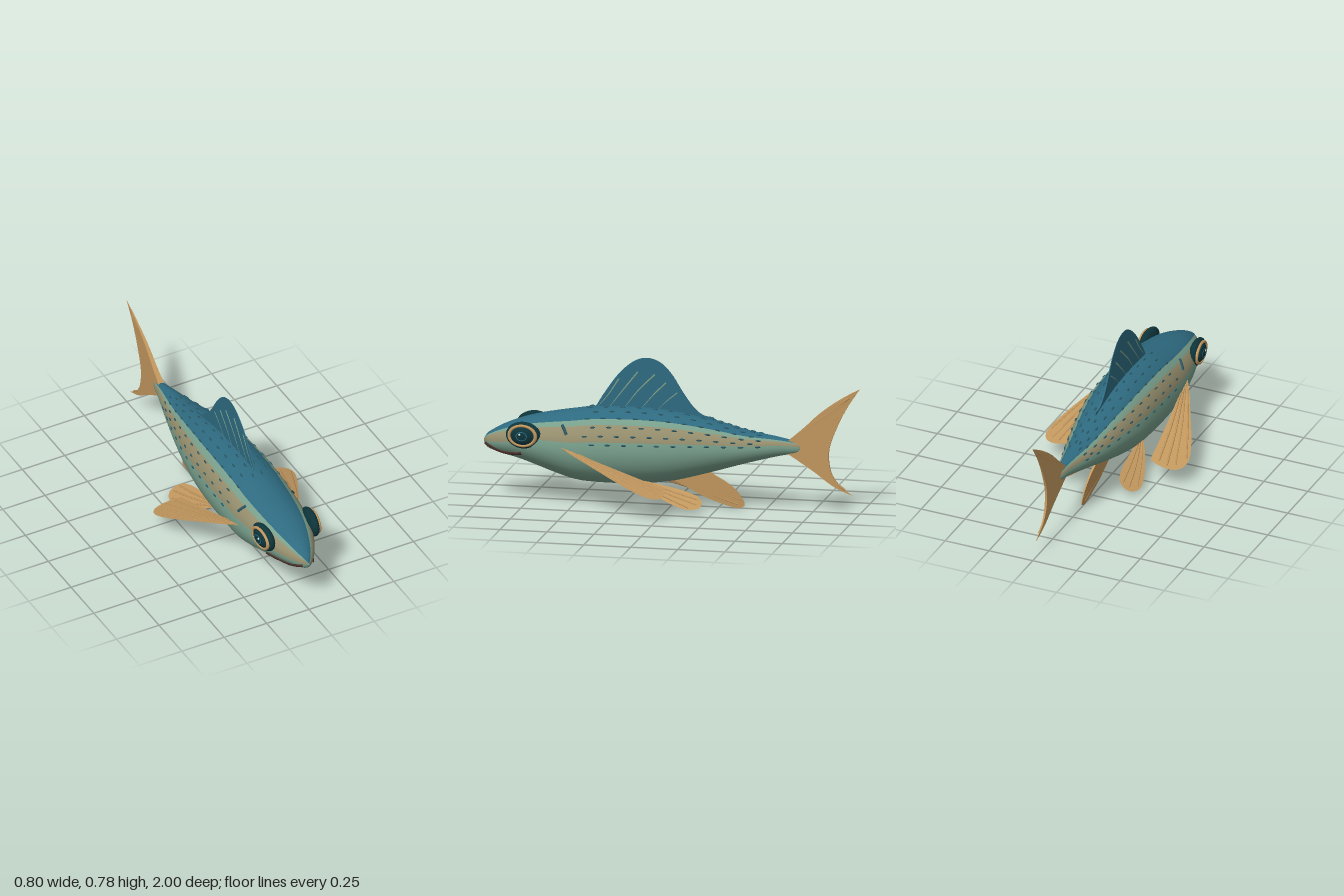
import * as THREE from 'three';
import { mergeGeometries } from 'three/addons/utils/BufferGeometryUtils.js';

const mat = (name, color, side = THREE.FrontSide) => {
  const m = new THREE.MeshStandardMaterial({ color, side });
  m.name = name;
  return m;
};

// Body profile by z: half width, top y, bottom y
const PROFILE = [
  [-0.70, 0.003, 0.352, 0.322], [-0.68, 0.015, 0.364, 0.312], [-0.6, 0.036, 0.385, 0.297],
  [-0.4, 0.09, 0.418, 0.245], [-0.2, 0.137, 0.468, 0.185], [0, 0.17, 0.505, 0.132],
  [0.2, 0.183, 0.516, 0.11], [0.4, 0.184, 0.508, 0.108], [0.5, 0.181, 0.492, 0.116],
  [0.6, 0.172, 0.475, 0.145], [0.7, 0.157, 0.455, 0.18], [0.8, 0.131, 0.427, 0.213],
  [0.9, 0.087, 0.386, 0.236], [0.95, 0.056, 0.358, 0.25], [0.985, 0.026, 0.331, 0.267],
  [1, 0.003, 0.303, 0.29],
];
const profile = new THREE.CubicInterpolant(
  PROFILE.map((p) => p[0]), PROFILE.flatMap((p) => p.slice(1)), 3, new Float32Array(3));

// Point on the skin at z and angle (degrees above the horizontal)
function skin(z, deg, side = 1) {
  const [w, top, bottom] = profile.evaluate(z);
  const a = THREE.MathUtils.degToRad(deg);
  return new THREE.Vector3(side * w * Math.cos(a), (top + bottom) / 2 + (top - bottom) / 2 * Math.sin(a), z);
}

// Lofted body, one geometry group per colour band
function bodyGeometry() {
  const half = [-90, -80, -70, -60, -50, -40, -30, -20, -10, 0, 13, 22, 31, 40, 51, 60, 70, 80];
  const ring = [...half, 90, ...half.slice(1).reverse().map((a) => 180 - a)];
  const n = ring.length, steps = 64, pos = [], bands = [[], [], []];
  for (let i = 0; i <= steps; i++) {
    const z = 0.15 - 0.85 * Math.cos(Math.PI * i / steps);
    ring.forEach((a) => pos.push(...skin(z, a).toArray()));
  }
  for (let i = 0; i < steps; i++) for (let j = 0; j < n; j++) {
    const k = (j + 1) % n, a = i * n + j, b = i * n + k;
    const mid = (ring[j] + (k ? ring[k] : 270)) / 2;
    const up = mid > 90 ? 180 - mid : mid;
    const tanFrom = pos[a * 3 + 2] > 0.8 ? 0 : 13;   // the band widens on the face
    const band = up > 51 ? 0 : up > tanFrom && up < 40 ? 2 : 1;
    bands[band].push(a, b, a + n, b, b + n, a + n);
  }
  const g = new THREE.BufferGeometry();
  g.setAttribute('position', new THREE.Float32BufferAttribute(pos, 3));
  g.setIndex(bands.flat());
  let start = 0;
  bands.forEach((b, i) => { g.addGroup(start, b.length, i); start += b.length; });
  g.computeVertexNormals();
  return g;
}

// Outline made of smooth runs that meet at corners
function outline(...runs) {
  const s = new THREE.Shape();
  s.moveTo(...runs[0][0]);
  runs.forEach((r, i) => s.splineThru((i ? r : r.slice(1)).map((p) => new THREE.Vector2(...p))));
  return s;
}

export function createModel() {
  const model = new THREE.Group();
  model.name = 'fish';
  const blue = mat('back blue', 0x2e6a80);
  const sage = mat('belly green', 0x789f8c);
  const band = mat('side band tan', 0x968f6e);
  const fin = mat('fin tan', 0xc2975e, THREE.DoubleSide);
  const dark = mat('dark teal', 0x0d343a);
  const scale = mat('scale blue', 0x2a5866);
  const brown = mat('mouth brown', 0x4c3029);
  const white = mat('eye highlight', 0xd8e4de);

  const add = (name, geometry, material, parent = model) => {
    const m = new THREE.Mesh(geometry, material);
    m.name = name;
    parent.add(m);
    return m;
  };
  const tube = (pts, r) => new THREE.TubeGeometry(
    new THREE.CatmullRomCurve3(pts.map((p) => new THREE.Vector3(...p))), 12, r, 6);
  const ball = (x, y, z) => new THREE.SphereGeometry(1, 24, 16).scale(x, y, z);

  add('body', bodyGeometry(), [blue, sage, band]);

  // Upright fins: outline and rays in (z, y), half thickness tapering by a rule
  function uprightFin(name, shape, material, halfThickness, rays, rayRadius, rayMaterial) {
    const g = new THREE.ExtrudeGeometry(shape, { depth: 2, bevelEnabled: false, curveSegments: 20 });
    g.translate(0, 0, -1).rotateY(-Math.PI / 2);
    const p = g.attributes.position;
    for (let i = 0; i < p.count; i++) {
      p.setX(i, p.getX(i) * Math.max(0.001, halfThickness(p.getZ(i), p.getY(i))));
    }
    g.computeVertexNormals();
    add(name, g, material);
    add(name + 'Rays', mergeGeometries(rays.map((r) => tube(r.map(([z, y]) => [0, y, z]), rayRadius))), rayMaterial);
  }
  uprightFin('dorsalFin', outline(
    [[0.42, 0.48], [0.36, 0.58], [0.28, 0.69], [0.2, 0.758], [0.13, 0.777], [0.06, 0.755], [0, 0.695],
      [-0.06, 0.6], [-0.12, 0.52], [-0.17, 0.485], [-0.22, 0.478]],
    [[-0.2, 0.45], [0, 0.48], [0.42, 0.48]]), blue, (z, y) => 0.005 - 0.016 * (y - 0.5), [
    [[0.4, 0.5], [0.34, 0.57], [0.28, 0.66]], [[0.33, 0.51], [0.26, 0.6], [0.18, 0.7]],
    [[0.25, 0.51], [0.18, 0.6], [0.09, 0.69]], [[0.16, 0.51], [0.1, 0.58], [0.03, 0.65]],
    [[0.08, 0.5], [0.03, 0.55], [-0.03, 0.6]],
  ], 0.0055, sage);
  uprightFin('tailFin', outline(
    [[-0.62, 0.375], [-0.7, 0.445], [-0.79, 0.53], [-0.9, 0.61], [-1, 0.667]],
    [[-0.93, 0.56], [-0.875, 0.45], [-0.835, 0.33], [-0.845, 0.22], [-0.89, 0.15], [-0.96, 0.095]],
    [[-0.86, 0.14], [-0.75, 0.22], [-0.62, 0.305]], [[-0.62, 0.34], [-0.62, 0.375]]), fin,
  (z) => 0.016 + 0.045 * (z + 0.62), [
    [[-0.65, 0.37], [-0.78, 0.49], [-0.94, 0.615]], [[-0.66, 0.36], [-0.77, 0.43], [-0.88, 0.51]],
    [[-0.67, 0.35], [-0.76, 0.385], [-0.84, 0.42]], [[-0.67, 0.335], [-0.76, 0.33], [-0.83, 0.32]],
    [[-0.66, 0.32], [-0.76, 0.27], [-0.84, 0.225]], [[-0.65, 0.31], [-0.78, 0.22], [-0.92, 0.125]],
  ], 0.006, fin);
  uprightFin('analFin', outline(
    [[0.02, 0.15], [-0.08, 0.1], [-0.18, 0.05], [-0.3, 0.01], [-0.36, 0.002], [-0.386, 0.025],
      [-0.35, 0.085], [-0.29, 0.135], [-0.23, 0.168]],
    [[-0.17, 0.19], [0.02, 0.15]]), fin, (z, y) => 0.001 + 0.03 * y, [
    [[-0.02, 0.14], [-0.18, 0.075], [-0.35, 0.02]], [[-0.06, 0.15], [-0.2, 0.1], [-0.37, 0.045]],
    [[-0.1, 0.16], [-0.22, 0.125], [-0.33, 0.09]],
  ], 0.004, fin);

  // Paired fins: outline and rays in (x, z), height from a tilt rule
  function pairedFin(name, shape, height, rays, side) {
    const g = new THREE.ShapeGeometry(shape, 20), p = g.attributes.position;
    for (let i = 0; i < p.count; i++) {
      const x = p.getX(i), z = p.getY(i);
      p.setXYZ(i, side * x, height(x, z), z);
    }
    g.computeVertexNormals();
    add(name, g, fin);
    add(name + 'Rays', mergeGeometries(rays.map((r) =>
      tube(r.map(([x, z]) => [side * x, height(x, z), z]), 0.005))), fin);
  }
  const pectoral = outline(
    [[0.165, 0.57], [0.215, 0.49], [0.28, 0.36], [0.345, 0.23], [0.39, 0.12], [0.4, 0.05], [0.375, 0],
      [0.32, -0.02], [0.26, -0.015], [0.215, 0.0]],
    [[0.208, 0.12], [0.19, 0.33], [0.165, 0.57]]);
  const pelvic = outline(
    [[0.08, 0.2], [0.14, 0.1], [0.185, 0], [0.21, -0.08], [0.212, -0.14], [0.185, -0.185], [0.145, -0.19], [0.11, -0.16]],
    [[0.09, -0.05], [0.08, 0.2]]);
  const pectoralHeight = (x, z) => 0.13 + 0.315 * z - 0.14 * (x - 0.26);
  const pelvicHeight = (x, z) => 0.145 - 0.55 * (x - 0.09) + 0.16 * (z - 0.18);

  for (const side of [1, -1]) {
    const label = side > 0 ? 'left' : 'right';
    pairedFin(label + 'PectoralFin', pectoral, pectoralHeight, [
      [[0.18, 0.54], [0.29, 0.31], [0.385, 0.08]], [[0.18, 0.52], [0.27, 0.28], [0.35, 0.02]],
      [[0.18, 0.5], [0.25, 0.26], [0.31, 0.0]], [[0.18, 0.46], [0.225, 0.24], [0.26, 0.01]],
    ], side);
    pairedFin(label + 'PelvicFin', pelvic, pelvicHeight, [
      [[0.09, 0.17], [0.15, 0.03], [0.2, -0.13]], [[0.09, 0.15], [0.135, 0], [0.17, -0.17]],
      [[0.09, 0.12], [0.115, -0.02], [0.135, -0.17]],
    ], side);

    // Eye: bulging ball, tan ring, dark dome, thin iris ring and glint
    const eye = new THREE.Group();
    eye.name = label + 'Eye';
    eye.position.set(side * 0.137, 0.365, 0.76);
    eye.rotation.y = -side * 0.08;
    model.add(eye);
    add('eyeball', ball(0.034, 0.071, 0.095), dark, eye);
    add('eyeRing', new THREE.TorusGeometry(1, 0.14, 8, 40).rotateY(Math.PI / 2).scale(0.07, 0.053, 0.071),
      fin, eye).position.x = side * 0.021;
    add('pupil', ball(0.017, 0.043, 0.056), dark, eye).position.x = side * 0.025;
    add('iris', new THREE.TorusGeometry(1, 0.12, 8, 32).rotateY(Math.PI / 2).scale(0.03, 0.022, 0.028),
      blue, eye).position.x = side * 0.038;
    add('glint', ball(0.004, 0.006, 0.006), white, eye).position.set(side * 0.041, 0.01, 0.01);

    // Mouth line and gill mark lying on the skin
    const onSkin = (list) => list.map(([z, a]) => skin(z, a, side).toArray());
    add(label + 'Mouth', tube(onSkin(
      [[0.985, -20], [0.95, -32], [0.9, -45], [0.85, -43], [0.8, -35], [0.77, -28]]), 0.0095), brown);
    add(label + 'GillMark', tube(onSkin([[0.555, 43], [0.54, 34], [0.525, 25]]), 0.008), scale);

    // Rows of small raised scales
    const bumps = [];
    [82, 67, 52, 36, 22, 9].forEach((a, row) => {
      for (let i = 0; i < 11; i++) {
        const z = 0.43 - i * 0.086 - (row % 2) * 0.04;
        const p = skin(z, a, side);
        const slope = skin(z + 0.02, a, side).sub(skin(z - 0.02, a, side)).normalize();
        const g = new THREE.SphereGeometry(1, 8, 6).scale(0.0045, 0.005, 0.015);
        g.applyQuaternion(new THREE.Quaternion().setFromUnitVectors(new THREE.Vector3(0, 0, 1), slope));
        bumps.push(g.translate(p.x, p.y, p.z));
      }
    });
    add(label + 'Scales', mergeGeometries(bumps), scale);
  }
  return model;
}
